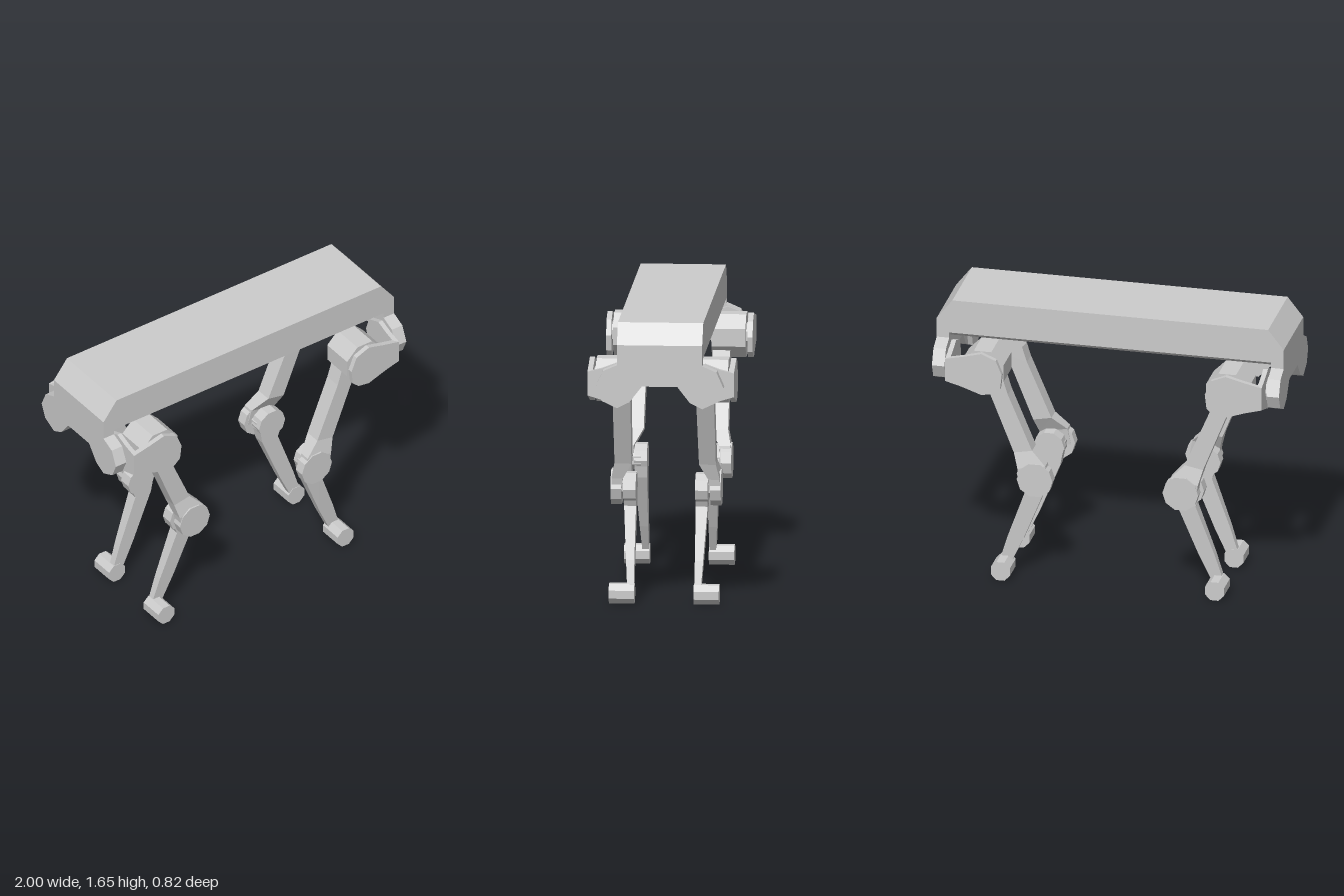
import * as THREE from 'three';

const material = new THREE.MeshStandardMaterial({ color: 0xcccccc, flatShading: true });

// Prism with an outline in x,y, running from z0 to z1
function prismXY(points, z0, z1) {
  const shape = new THREE.Shape(points.map(([x, y]) => new THREE.Vector2(x, y)));
  return new THREE.ExtrudeGeometry(shape, { depth: z1 - z0, bevelEnabled: false }).translate(0, 0, z0);
}

// Prism with an outline in z,y, running from x0 to x1
function prismZY(points, x0, x1) {
  return prismXY(points.map(([z, y]) => [-z, y]), x0, x1).rotateY(Math.PI / 2);
}

// Faceted disc lying across z, with a flat on top
function disc(x, y, r, z0, z1, sides = 8) {
  return new THREE.CylinderGeometry(r, r, z1 - z0, sides, 1, false, Math.PI / sides)
    .rotateX(Math.PI / 2).translate(x, y, (z0 + z1) / 2);
}

// Four-sided limb through sections [outer x, y, inner x, y, z0, z1], top to bottom
function limb(sections) {
  const pos = [], index = [];
  for (const [ax, ay, bx, by, z0, z1] of sections) {
    pos.push(ax, ay, z0, ax, ay, z1, bx, by, z1, bx, by, z0);
  }
  const n = sections.length - 1;
  for (let i = 0; i < n; i++) {
    for (let k = 0; k < 4; k++) {
      const a = i * 4 + k, b = i * 4 + (k + 1) % 4;
      index.push(a, b, b + 4, a, b + 4, a + 4);
    }
  }
  const e = n * 4;
  index.push(0, 3, 2, 0, 2, 1, e, e + 1, e + 2, e, e + 2, e + 3);
  const geo = new THREE.BufferGeometry();
  geo.setAttribute('position', new THREE.Float32BufferAttribute(pos, 3));
  geo.setIndex(index);
  return geo;
}

// Mirrored copy that keeps the faces turned outward
function mirrored(source, sx, sz) {
  const geo = source.index ? source.toNonIndexed() : source.clone();
  const p = geo.attributes.position, a = new THREE.Vector3(), b = new THREE.Vector3();
  for (let i = 0; i < p.count; i++) p.setXYZ(i, p.getX(i) * sx, p.getY(i), p.getZ(i) * sz);
  if (sx * sz < 0) {
    for (let i = 0; i < p.count; i += 3) {
      a.fromBufferAttribute(p, i + 1);
      b.fromBufferAttribute(p, i + 2);
      p.setXYZ(i + 1, b.x, b.y, b.z);
      p.setXYZ(i + 2, a.x, a.y, a.z);
    }
  }
  geo.computeVertexNormals();
  return geo;
}

function add(parent, name, geo) {
  const mesh = new THREE.Mesh(geo, material);
  mesh.name = name;
  parent.add(mesh);
}

export function createModel() {
  const model = new THREE.Group();
  model.name = 'quadrupedRobot';

  // Long body with sloped ends
  add(model, 'body', prismXY([
    [-1, 1.43], [-0.93, 1.43], [-0.93, 1.457], [0.93, 1.457], [0.93, 1.43], [1, 1.43],
    [1, 1.54], [0.91, 1.655], [-0.91, 1.655], [-1, 1.54],
  ], -0.24, 0.24));
  add(model, 'underside', prismZY([
    [-0.24, 1.46], [-0.2, 1.428], [0.2, 1.428], [0.24, 1.46],
  ], -0.93, 0.93));
  add(model, 'bellyKeel', prismXY([
    [-0.93, 1.44], [-0.93, 1.395], [-0.5, 1.415], [0, 1.425], [0.5, 1.415], [0.93, 1.395], [0.93, 1.44],
  ], -0.1, 0.1));

  // End plates with a lobe on each side
  const lobe = [[0.1, 1.305], [0.17, 1.215], [0.24, 1.18], [0.325, 1.22], [0.36, 1.3], [0.32, 1.39], [0.24, 1.425]];
  const plate = [...lobe, [0.24, 1.5], [-0.24, 1.5], ...lobe.map(([z, y]) => [-z, y]).reverse()];
  add(model, 'frontEndPlate', prismZY(plate, 0.928, 1));
  add(model, 'rearEndPlate', prismZY(plate, -1, -0.928));

  // One leg, repeated at all four corners
  const hip = [0.705, 1.297], knee = [0.42, 0.63];
  const legParts = {
    hipAxle: new THREE.CylinderGeometry(0.07, 0.07, 0.06, 8).rotateZ(Math.PI / 2).translate(0.92, 1.3, 0.245),
    hipBracketWall: prismZY([
      [0.13, 1.3], [0.16, 1.215], [0.25, 1.18], [0.33, 1.21], [0.412, 1.235],
      [0.412, 1.37], [0.33, 1.39], [0.25, 1.42], [0.16, 1.385],
    ], 0.885, 0.912),
    hipBracketArm: prismXY([
      [0.912, 1.235], [0.912, 1.37], [0.8, 1.395], [0.705, 1.42], [0.62, 1.385],
      [0.585, 1.3], [0.595, 1.215], [0.635, 1.18], [0.705, 1.17], [0.82, 1.21],
    ], 0.383, 0.412),
    hipPin: disc(...hip, 0.07, 0.35, 0.39),
    hipMotor: disc(...hip, 0.132, 0.18, 0.372),
    upperLeg: limb([
      [0.78, 1.29, 0.63, 1.29, 0.185, 0.285],
      [0.7, 1.17, 0.58, 1.13, 0.185, 0.285],
      [0.545, 0.78, 0.44, 0.8, 0.19, 0.285],
      [0.52, 0.69, 0.36, 0.72, 0.24, 0.305],
      [0.51, 0.62, 0.34, 0.62, 0.25, 0.305],
    ]),
    kneeCap: disc(...knee, 0.103, 0.25, 0.31, 10),
    kneePin: disc(...knee, 0.06, 0.2, 0.27),
    lowerLegHead: disc(0.45, 0.63, 0.09, 0.167, 0.238, 10),
    lowerLeg: limb([
      [0.53, 0.63, 0.365, 0.63, 0.167, 0.238],
      [0.49, 0.53, 0.383, 0.53, 0.168, 0.235],
      [0.595, 0.24, 0.505, 0.23, 0.17, 0.217],
      [0.645, 0.08, 0.575, 0.08, 0.17, 0.207],
    ]),
    foot: disc(0.617, 0.055, 0.0595, 0.167, 0.31),
  };
  for (const sx of [1, -1]) {
    for (const sz of [1, -1]) {
      const leg = new THREE.Group();
      leg.name = `${sz > 0 ? 'front' : 'back'}${sx > 0 ? 'Left' : 'Right'}Leg`;
      for (const [name, geo] of Object.entries(legParts)) add(leg, name, mirrored(geo, sx, sz));
      model.add(leg);
    }
  }
  return model;
}
